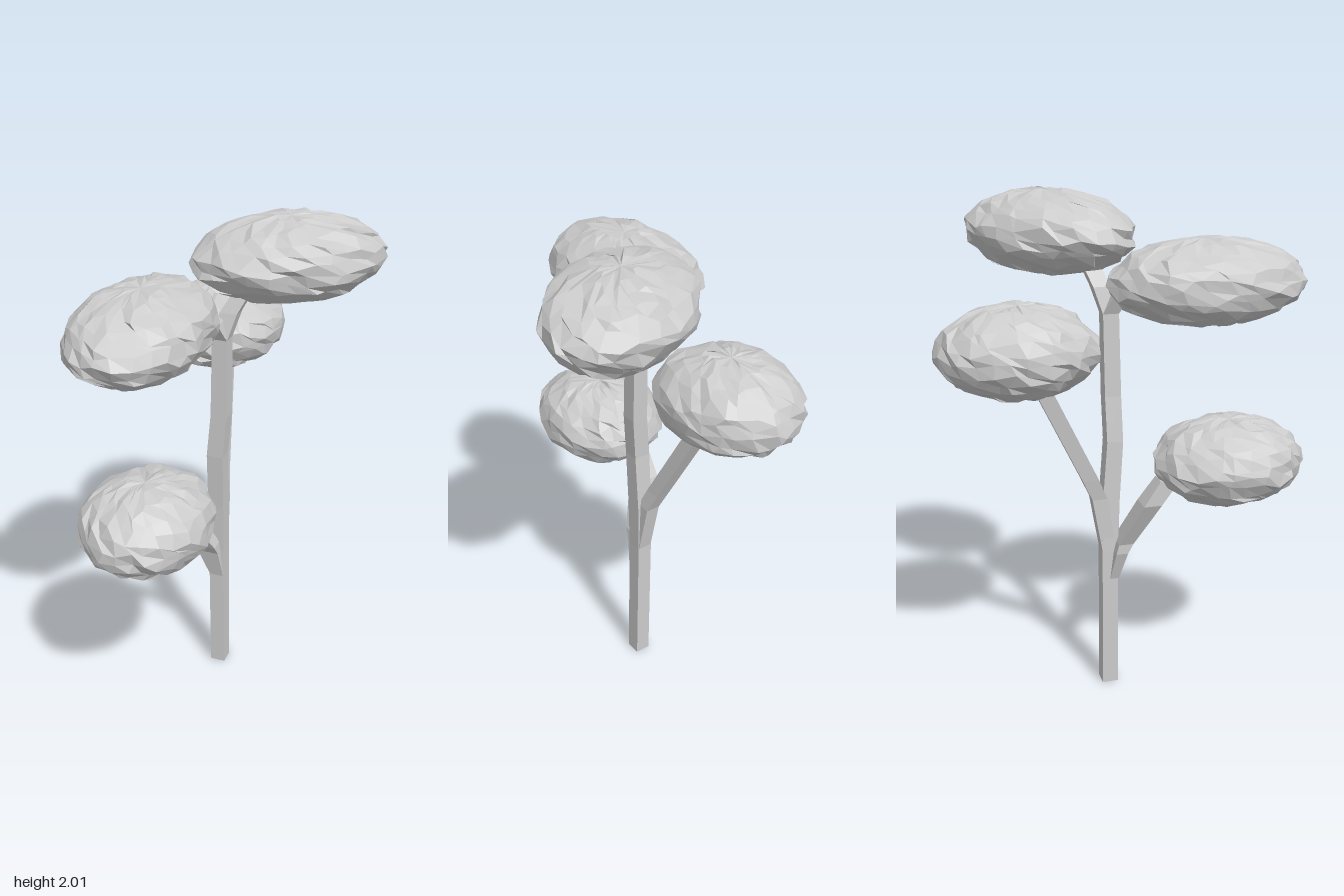
import * as THREE from 'three';

const material = new THREE.MeshStandardMaterial({ color: 0xcccccc, flatShading: true });

// Repeatable noise in 0..1 from a grid cell and a seed
function noise(i, j, seed) {
  const s = Math.sin(i * 127.1 + j * 311.7 + seed * 74.7) * 43758.5453;
  return s - Math.floor(s);
}

// Square stem through stations [x, y, z, halfWidth, halfDepth]
function stem(name, stations) {
  const n = stations.length - 1;
  const geo = new THREE.BoxGeometry(2, 1, 2, 1, n, 1);
  const p = geo.attributes.position;
  for (let i = 0; i < p.count; i++) {
    const [x, y, z, w, d] = stations[Math.round((p.getY(i) + 0.5) * n)];
    p.setXYZ(i, x + p.getX(i) * w, y, z + p.getZ(i) * d);
  }
  geo.computeVertexNormals();
  const mesh = new THREE.Mesh(geo, material);
  mesh.name = name;
  return mesh;
}

// Rough, faceted ellipsoid of leaves
function foliage(name, centre, radii, turn, seed) {
  const cols = 28, rows = 14;
  const geo = new THREE.SphereGeometry(1, cols, rows);
  const p = geo.attributes.position;
  for (let r = 0; r <= rows; r++) {
    for (let c = 0; c <= cols; c++) {
      const k = c % cols;
      const pole = r === 0 || r === rows;
      const jitter = (s) => (pole ? 0 : noise(k, r, seed + s) - 0.5);
      const theta = ((r + jitter(1) * 0.75) / rows) * Math.PI;
      const phi = ((k + jitter(2) * 0.75) / cols) * Math.PI * 2;
      const rad = pole ? 0.94 : 0.975 + jitter(3) * 0.085;
      p.setXYZ(r * (cols + 1) + c,
        -Math.cos(phi) * Math.sin(theta) * rad * radii[0],
        Math.cos(theta) * rad * radii[1],
        Math.sin(phi) * Math.sin(theta) * rad * radii[2]);
    }
  }
  const flat = geo.toNonIndexed();
  flat.computeVertexNormals();
  const mesh = new THREE.Mesh(flat, material);
  mesh.name = name;
  mesh.position.set(...centre);
  mesh.rotation.y = turn;
  return mesh;
}

export function createModel() {
  const tree = new THREE.Group();
  tree.name = 'tree';

  // Trunk and branches
  tree.add(
    stem('trunk', [
      [-0.085, 0, -0.047, 0.032, 0.032],
      [-0.085, 0.6, -0.047, 0.032, 0.032],
      [-0.083, 0.82, -0.042, 0.033, 0.034],
      [-0.08, 1.06, -0.026, 0.034, 0.032],
      [-0.064, 1.24, -0.03, 0.033, 0.032],
      [-0.06, 1.57, -0.036, 0.03, 0.031],
    ]),
    stem('lowerBranch', [
      [-0.085, 0.47, -0.03, 0.03, 0.018],
      [-0.112, 0.6, -0.008, 0.045, 0.024],
      [-0.115, 0.64, 0.008, 0.043, 0.03],
      [-0.2, 0.83, 0.09, 0.045, 0.036],
      [-0.21, 0.93, 0.16, 0.035, 0.04],
    ]),
    stem('backBranch', [
      [-0.085, 0.6, -0.05, 0.03, 0.028],
      [-0.092, 0.83, -0.09, 0.03, 0.03],
      [-0.108, 0.92, -0.13, 0.03, 0.032],
      [-0.16, 1.32, -0.325, 0.03, 0.032],
      [-0.18, 1.42, -0.37, 0.025, 0.03],
    ]),
    stem('crownBranch', [
      [-0.06, 1.56, -0.036, 0.03, 0.031],
      [-0.035, 1.66, -0.065, 0.034, 0.033],
      [0.04, 1.8, -0.12, 0.032, 0.032],
    ]),
    stem('frontBranch', [
      [-0.06, 1.56, -0.036, 0.03, 0.031],
      [-0.085, 1.63, 0.0, 0.034, 0.032],
      [-0.13, 1.71, 0.07, 0.032, 0.032],
    ]),
  );

  // Leaf clusters
  tree.add(
    foliage('lowerFoliage', [-0.195, 0.98, 0.41], [0.257, 0.175, 0.306], 0, 1),
    foliage('backFoliage', [-0.197, 1.47, -0.41], [0.257, 0.175, 0.306], 0, 5),
    foliage('frontFoliage', [-0.235, 1.695, 0.29], [0.257, 0.162, 0.382], 0, 9),
    foliage('crownFoliage', [0.142, 1.845, -0.22], [0.382, 0.162, 0.265], 0.63, 13),
  );
  return tree;
}
